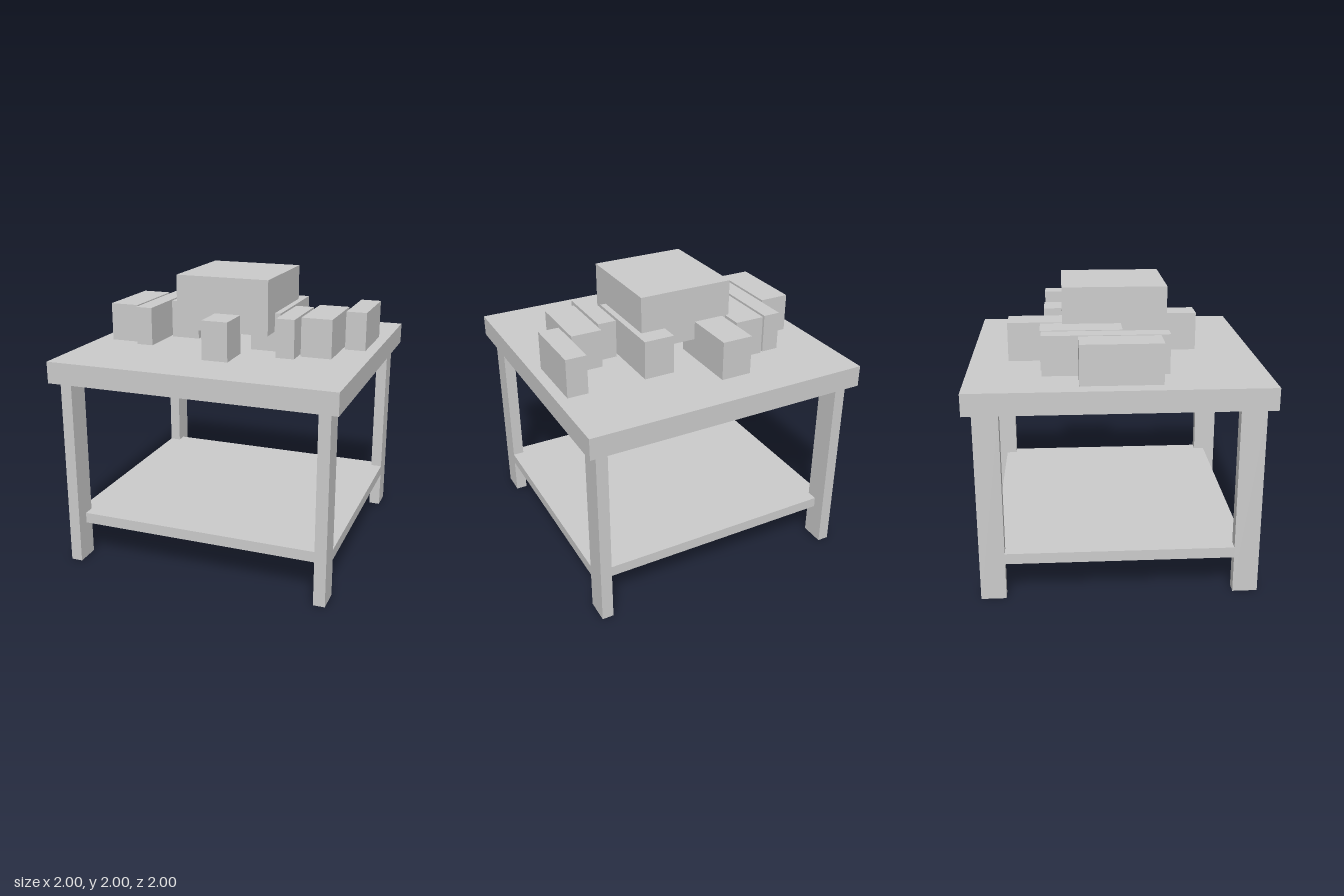
import * as THREE from 'three';

const material = new THREE.MeshStandardMaterial({ color: 0xcccccc, flatShading: true });

// Box given by its extents along each axis
function box(name, [x0, x1], [y0, y1], [z0, z1]) {
  const mesh = new THREE.Mesh(new THREE.BoxGeometry(x1 - x0, y1 - y0, z1 - z0), material);
  mesh.position.set((x0 + x1) / 2, (y0 + y1) / 2, (z0 + z1) / 2);
  mesh.name = name;
  return mesh;
}

export function createModel() {
  const model = new THREE.Group();
  model.name = 'tableWithBoxes';

  // Table
  model.add(box('tableTop', [-1, 1], [1.33, 1.48], [-1, 1]));
  model.add(box('lowerShelf', [-0.94, 0.94], [0.26, 0.335], [-0.85, 0.85]));
  for (const sx of [-1, 1]) {
    for (const sz of [-1, 1]) {
      const leg = box('leg', [-0.04, 0.04], [0, 1.33], [-0.085, 0.085]);
      leg.position.x = sx * 0.9;
      leg.position.z = sz * 0.857;
      model.add(leg);
    }
  }

  // Row of small boxes on the table: x extents, z extents
  const row = [
    [[-0.89, -0.68], [-0.26, 0.28]],
    [[-0.66, -0.54], [-0.5, 0.345]],
    [[-0.52, -0.31], [-0.51, 0.04]],
    [[-0.285, -0.07], [-0.735, -0.2]],
    [[-0.05, 0.135], [0.35, 0.6]],
    [[0.16, 0.375], [-0.49, 0.205]],
    [[0.395, 0.525], [-0.095, 0.37]],
    [[0.545, 0.76], [-0.19, 0.28]],
    [[0.78, 0.925], [-0.49, -0.02]],
  ];
  for (const [x, z] of row) model.add(box('smallBox', x, [1.48, 1.75], z));

  // Large box resting over the middle of the row
  model.add(box('largeBox', [-0.335, 0.333], [1.62, 2], [-0.36, 0.355]));

  return model;
}
